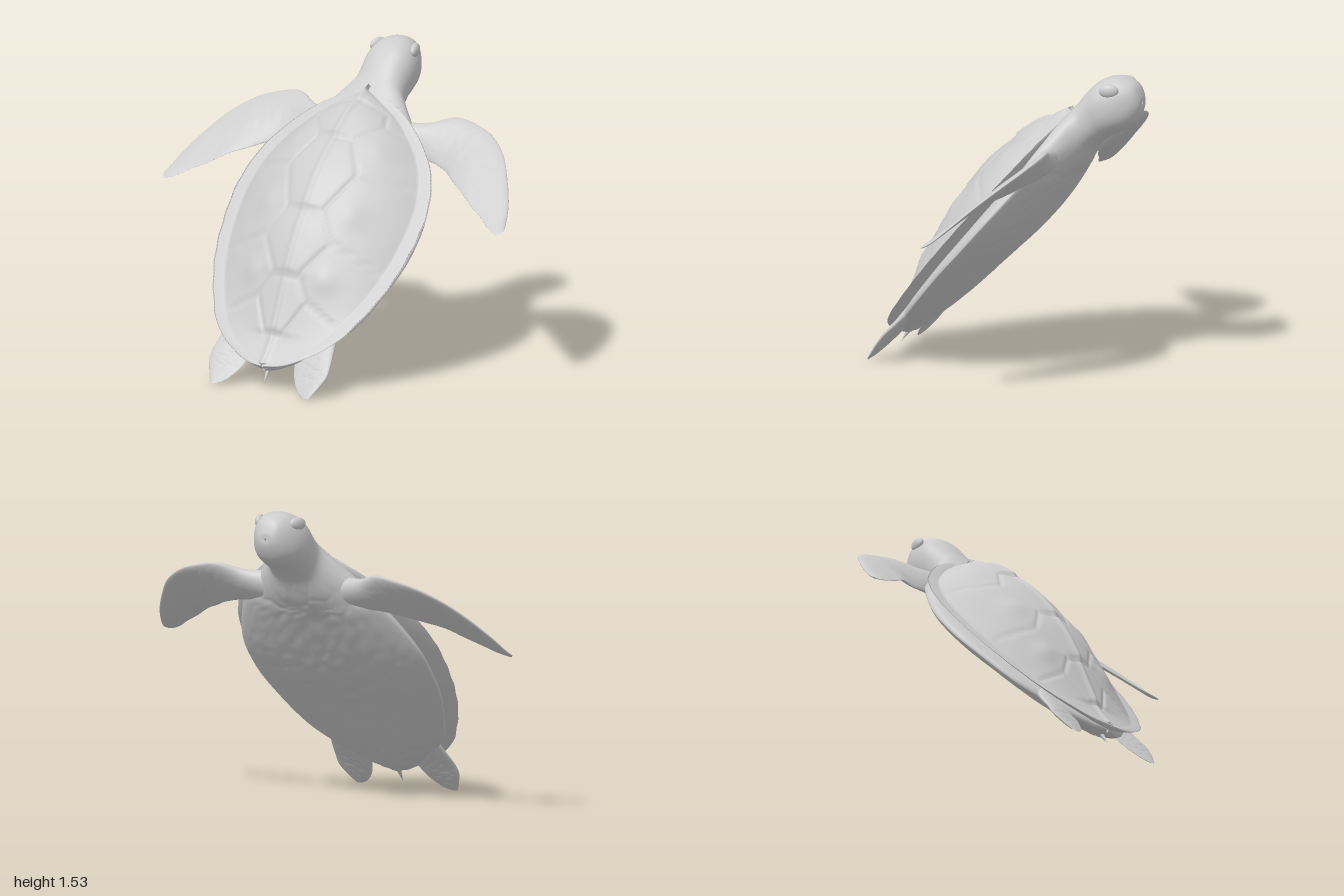
import * as THREE from 'three';
import { mergeVertices } from 'three/addons/utils/BufferGeometryUtils.js';

// Swimmer is built level (y = back, -z = forward), then pitched nose-up.
const PITCH = THREE.MathUtils.degToRad(48);
const V = (a) => new THREE.Vector3(a[0], a[1], a[2]);
const curve = (pts) => new THREE.CatmullRomCurve3(pts.map(V), false, 'centripetal');

// Smooth one-dimensional lookup through [position, value] pairs
function table(pts) {
  const slope = (i) => {
    const a = pts[Math.max(0, i - 1)], b = pts[Math.min(pts.length - 1, i + 1)];
    return (b[1] - a[1]) / (b[0] - a[0]);
  };
  return (x) => {
    let i = 0;
    while (i < pts.length - 2 && x > pts[i + 1][0]) i++;
    const d = pts[i + 1][0] - pts[i][0];
    const t = THREE.MathUtils.clamp((x - pts[i][0]) / d, 0, 1), t2 = t * t, t3 = t2 * t;
    return (2 * t3 - 3 * t2 + 1) * pts[i][1] + (t3 - 2 * t2 + t) * d * slope(i)
      + (3 * t2 - 2 * t3) * pts[i + 1][1] + (t3 - t2) * d * slope(i + 1);
  };
}

// Surface from fn(u, v) -> [x, s, n], where s is forward and n is up
function surface(nu, nv, fn, flip = false) {
  const pos = [], idx = [], w = nv + 1;
  for (let i = 0; i <= nu; i++) for (let j = 0; j <= nv; j++) {
    const [x, s, n] = fn(i / nu, j / nv);
    pos.push(x, n, -s);
  }
  for (let i = 0; i < nu; i++) for (let j = 0; j < nv; j++) {
    const a = i * w + j, b = a + w;
    if (flip) idx.push(a, a + 1, b, b, a + 1, b + 1);
    else idx.push(a, b, a + 1, b, b + 1, a + 1);
  }
  const g = new THREE.BufferGeometry();
  g.setAttribute('position', new THREE.Float32BufferAttribute(pos, 3));
  g.setIndex(idx);
  const merged = mergeVertices(g, 1e-5);
  merged.computeVertexNormals();
  return merged;
}

// Irregular skin scales: 0 in the grooves, 1 on the plates
function scales(x, y, size) {
  const px = x / size, py = y / size, cx = Math.floor(px), cy = Math.floor(py);
  const rnd = (a, b, k) => { const r = Math.sin(a * 127.1 + b * 311.7 + k * 74.7) * 43758.5453; return r - Math.floor(r); };
  let f1 = 9, f2 = 9;
  for (let a = cx - 1; a <= cx + 1; a++) for (let b = cy - 1; b <= cy + 1; b++) {
    const d = Math.hypot(a + rnd(a, b, 1) - px, b + rnd(a, b, 2) - py);
    if (d < f1) { f2 = f1; f1 = d; } else if (d < f2) f2 = d;
  }
  return THREE.MathUtils.smoothstep(f2 - f1, 0, 0.3);
}

// Domed shell with keel, scute seams and a flat marginal band
function shellGeometry() {
  const outline = curve([[0, -0.35, 0], [0.09, -0.335, 0], [0.176, -0.295, 0], [0.337, -0.17, 0], [0.444, 0.007, 0],
    [0.524, 0.22, 0], [0.56, 0.46, 0], [0.553, 0.65, 0], [0.48, 0.85, 0], [0.3, 1.05, 0], [0.123, 1.16, 0], [0, 1.21, 0]]);
  const rim = table([[-0.36, 0.58], [0.1, 0.575], [0.6, 0.58], [0.9, 0.6], [1.21, 0.655]]);
  const ridge = table([[-0.36, 0.58], [-0.25, 0.585], [-0.163, 0.6], [0.12, 0.7], [0.323, 0.757], [0.466, 0.775],
    [0.67, 0.79], [0.859, 0.77], [1.014, 0.745], [1.112, 0.705], [1.21, 0.665]]);
  const seams = [-0.17, 0.115, 0.45, 0.86, 1.1];
  const lines = [
    [0, 1.1, 0.17, 1.06], [0.17, 1.06, 0.2, 0.98], [0.2, 0.98, 0.1, 0.86], [0, 0.86, 0.1, 0.86], [0.1, 0.86, 0.2, 0.68],
    [0.2, 0.68, 0.1, 0.45], [0, 0.45, 0.1, 0.45], [0.1, 0.45, 0.19, 0.3], [0.19, 0.3, 0.07, 0.115], [0, 0.115, 0.07, 0.115],
    [0.07, 0.115, 0.14, 0], [0.14, 0, 0.05, -0.17], [0, -0.17, 0.05, -0.17],
    [0.2, 0.98, 0.33, 0.97], [0.2, 0.68, 0.5, 0.72], [0.19, 0.3, 0.47, 0.23], [0.14, 0, 0.32, -0.08]];
  const groove = (x, s) => {
    let best = 1;
    for (const [ax, as, bx, bs] of lines) {
      const dx = bx - ax, ds = bs - as;
      const t = THREE.MathUtils.clamp(((x - ax) * dx + (s - as) * ds) / (dx * dx + ds * ds), 0, 1);
      best = Math.min(best, Math.hypot(x - ax - t * dx, s - as - t * ds));
    }
    return Math.exp(-((best / 0.011) ** 2));
  };
  const bump = (x, s, cx, cs, r) => Math.exp(-((x - cx) ** 2 + (s - cs) ** 2) / (r * r));
  return surface(130, 150, (u, v) => {
    const p = outline.getPoint(u), s = p.y, top = v <= 0.8;
    const a = top ? 1 - 2 * v / 0.8 : -1 + 2 * (v - 0.8) / 0.2;
    const scallop = 1 + 0.008 * Math.sin(s * 46) * (1 - u);
    const x = a * p.x * scallop, ax = Math.abs(x), base = rim(s);
    if (!top) return [x, s, base - 0.018 * (1 - a ** 8)];
    const inner = Math.max(p.x - 0.075, 0.001), f = Math.max(0, 1 - (ax / inner) ** 1.9);
    let n = base + Math.max(0, ridge(s) - base) * f;
    const k = seams.findIndex((q, i) => s >= q && s < seams[i + 1]);
    const saw = k < 0 ? 0 : 1 - (s - seams[k]) / (seams[k + 1] - seams[k]);
    const relief = 0.012 * saw * Math.exp(-((x / 0.1) ** 2)) + 0.01 * Math.exp(-((x / 0.018) ** 2))
      + 0.014 * bump(ax, s, 0.24, 0.47, 0.07) + 0.014 * bump(ax, s, 0.21, 0.12, 0.06)
      + 0.01 * bump(ax, s, 0.25, 0.85, 0.07) - 0.008 * groove(ax, s);
    n += relief * Math.min(1, f * 5);
    return [x, s, n + 0.006 * (1 - a ** 8)];
  });
}

// Belly, neck and head: each row is [top s, top n, bottom s, bottom n, half width]
function bodyGeometry() {
  const rows = [
    [-0.35, 0.56, -0.35, 0.545, 0.005], [-0.32, 0.568, -0.32, 0.505, 0.08], [-0.235, 0.573, -0.235, 0.48, 0.2],
    [-0.025, 0.575, -0.025, 0.448, 0.38], [0.26, 0.58, 0.26, 0.428, 0.485], [0.46, 0.585, 0.46, 0.413, 0.515],
    [0.664, 0.595, 0.664, 0.413, 0.5], [0.92, 0.62, 0.91, 0.428, 0.4], [1.06, 0.652, 0.98, 0.43, 0.31],
    [1.196, 0.659, 1.056, 0.433, 0.215], [1.274, 0.662, 1.161, 0.45, 0.15], [1.338, 0.666, 1.237, 0.441, 0.137],
    [1.422, 0.662, 1.283, 0.428, 0.14], [1.485, 0.637, 1.329, 0.41, 0.134], [1.529, 0.599, 1.366, 0.396, 0.119],
    [1.555, 0.552, 1.411, 0.39, 0.094], [1.561, 0.508, 1.458, 0.398, 0.066], [1.539, 0.457, 1.493, 0.412, 0.035],
    [1.52, 0.436, 1.51, 0.427, 0.005]];
  const tops = new THREE.CatmullRomCurve3(rows.map((r) => V([r[4], r[0], r[1]])), false, 'catmullrom');
  const bots = new THREE.CatmullRomCurve3(rows.map((r) => V([r[4], r[2], r[3]])), false, 'catmullrom');
  return surface(150, 96, (u, v) => {
    const t = tops.getPoint(u), b = bots.getPoint(u), phi = v * Math.PI * 2;
    const c = Math.cos(phi), up = Math.sin(phi) >= 0, head = THREE.MathUtils.smoothstep(u, 0.4, 0.6);
    const q = up ? 2.4 : THREE.MathUtils.lerp(1.5, 2.3, head), e = up ? 0.45 : THREE.MathUtils.lerp(0.65, 0.46, head);
    const h = Math.pow(Math.max(0, 1 - Math.abs(c) ** q), e) * (up ? 1 : -1);
    const k = (1 + h) / 2, x = c * t.x, s = b.y + (t.y - b.y) * k;
    const plates = up ? 0 : 0.006 * (1 - head) * -h * (scales(x, s * 0.8, 0.085) - 0.5);
    return [x, s, b.z + (t.z - b.z) * k - plates];
  });
}

// Paddle: each row is [outer/leading point, inner/trailing point, half thickness]
function flipperGeometry(rows, side) {
  const lead = curve(rows.map((r) => r[0])), trail = curve(rows.map((r) => r[1]));
  const thick = table(rows.map((r, i) => [i / (rows.length - 1), r[2]]));
  return surface(64, 48, (u, v) => {
    const l = lead.getPoint(u), t = trail.getPoint(u), phi = v * Math.PI * 2, c = Math.cos(phi);
    const p = t.lerp(l, (1 + c) / 2);
    const skin = 0.004 * Math.min(1, u * 3) * (1 - u) * (scales(p.x, p.y, 0.05) - 0.5);
    const n = p.z + Math.sin(phi) * (thick(u) * (0.7 + 0.3 * c) + skin);
    return [side * p.x, p.y, n];
  }, side > 0);
}

const FRONT = [
  [[0.2, 1.09, 0.555], [0.2, 0.88, 0.52], 0.075], [[0.33, 1.115, 0.54], [0.36, 0.93, 0.51], 0.05],
  [[0.46, 1.18, 0.525], [0.5, 0.894, 0.516], 0.034], [[0.58, 1.165, 0.512], [0.59, 0.83, 0.54], 0.027],
  [[0.68, 1.125, 0.508], [0.68, 0.77, 0.56], 0.023], [[0.79, 1.03, 0.514], [0.77, 0.7, 0.565], 0.019],
  [[0.87, 0.912, 0.525], [0.845, 0.652, 0.565], 0.016], [[0.95, 0.76, 0.535], [0.91, 0.6, 0.57], 0.012],
  [[0.99, 0.64, 0.548], [0.96, 0.575, 0.572], 0.009], [[1.0, 0.6, 0.56], [0.98, 0.573, 0.57], 0.003]];
const REAR = [
  [[0.3, -0.05, 0.53], [0.14, -0.05, 0.53], 0.04], [[0.325, -0.17, 0.528], [0.12, -0.22, 0.522], 0.028],
  [[0.343, -0.27, 0.53], [0.15, -0.33, 0.515], 0.02], [[0.345, -0.32, 0.525], [0.18, -0.385, 0.515], 0.016],
  [[0.32, -0.39, 0.52], [0.22, -0.43, 0.515], 0.012], [[0.29, -0.45, 0.518], [0.262, -0.455, 0.518], 0.004]];

export function createModel() {
  const model = new THREE.Group();
  model.name = 'seaTurtle';
  model.rotation.x = PITCH;
  const grey = new THREE.MeshStandardMaterial({ color: 0xcccccc, side: THREE.DoubleSide });
  grey.name = 'lightGrey';
  const add = (name, geometry) => {
    const mesh = new THREE.Mesh(geometry, grey);
    mesh.name = name;
    model.add(mesh);
    return mesh;
  };

  add('shell', shellGeometry());
  add('bodyAndHead', bodyGeometry());

  for (const side of [1, -1]) {
    const label = side > 0 ? 'left' : 'right';
    add(label + 'FrontFlipper', flipperGeometry(FRONT, side));
    add(label + 'RearFlipper', flipperGeometry(REAR, side));
    // Heavy eyelid bulging from the side of the head
    const lid = add(label + 'Eyelid', new THREE.SphereGeometry(1, 24, 16));
    lid.scale.set(0.022, 0.034, 0.05);
    lid.position.set(side * 0.108, 0.575, -1.478);
    lid.rotation.set(-0.75, side * 0.3, 0);
  }

  // Small pointed tail
  const tail = add('tail', new THREE.ConeGeometry(0.025, 0.16, 16));
  tail.rotation.x = Math.PI / 2 + 0.15;
  tail.position.set(0, 0.52, 0.325);

  const root = new THREE.Group();
  root.name = 'turtle';
  root.add(model);
  return root;
}
